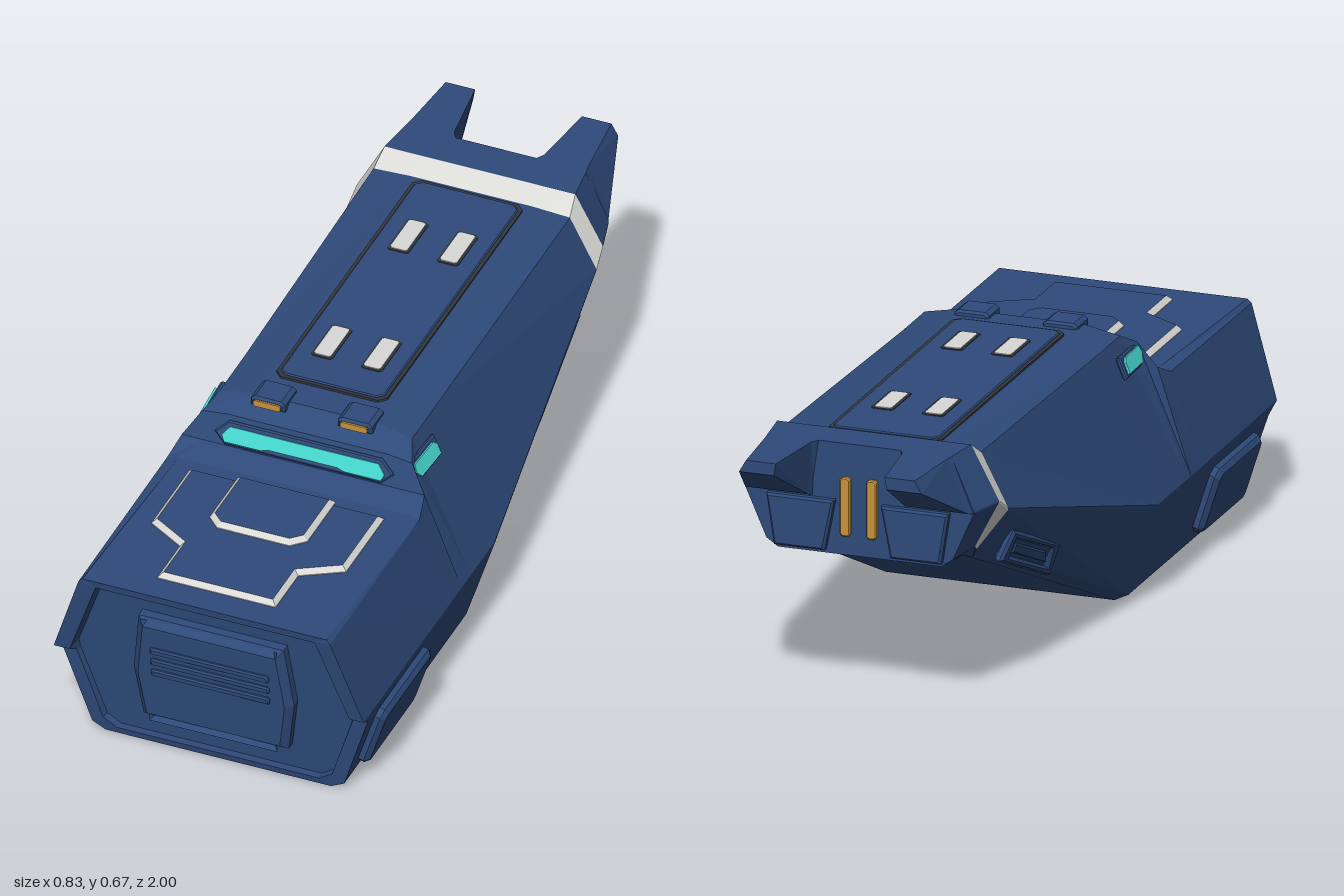
import * as THREE from 'three';

const mat = (name, color) => Object.assign(new THREE.MeshStandardMaterial({ color }), { name });

export function createModel() {
  const blue = mat('hullBlue', 0x2e4a7a), light = mat('lightTrim', 0xd9d9d6), cyan = mat('cyanGlass', 0x48dcd4);
  const amber = mat('amberLamp', 0xc8923a), dark = mat('darkSeam', 0x33373f);
  const model = new THREE.Group();
  model.name = 'spaceship';

  const add = (name, geo, material) => {
    const mesh = new THREE.Mesh(geo, material);
    mesh.name = name;
    model.add(mesh);
    return mesh;
  };

  // Mirror a geometry across x and restore its winding
  const mirrored = (geo) => {
    const g = geo.index ? geo.toNonIndexed() : geo.clone();
    const p = g.attributes.position, a = new THREE.Vector3(), b = new THREE.Vector3();
    g.scale(-1, 1, 1);
    for (let i = 0; i < p.count; i += 3) {
      a.fromBufferAttribute(p, i + 1);
      b.fromBufferAttribute(p, i + 2);
      p.setXYZ(i + 1, b.x, b.y, b.z);
      p.setXYZ(i + 2, a.x, a.y, a.z);
    }
    g.computeVertexNormals();
    return g;
  };
  const addPair = (name, geo, material) => {
    add(name + 'Left', geo, material);
    add(name + 'Right', mirrored(geo), material);
  };

  // Flat shaded skin over rings running from front to back
  const loft = (rows, { cols, start = false, end = false } = {}) => {
    const out = [], n = rows[0].length, tri = (...v) => v.forEach((p) => out.push(...p));
    for (let i = 0; i < rows.length - 1; i++) {
      for (const j of cols || rows[0].keys()) {
        const k = (j + 1) % n, [a, b, c, d] = [rows[i][j], rows[i][k], rows[i + 1][j], rows[i + 1][k]];
        tri(a, c, b);
        tri(b, c, d);
      }
    }
    const last = rows[rows.length - 1];
    for (let j = 1; j < n - 1; j++) {
      if (start) tri(rows[0][0], rows[0][j], rows[0][j + 1]);
      if (end) tri(last[0], last[j + 1], last[j]);
    }
    const g = new THREE.BufferGeometry();
    g.setAttribute('position', new THREE.Float32BufferAttribute(out, 3));
    g.computeVertexNormals();
    return g;
  };

  // Symmetric ring from its left half, bottom to top; a point may carry its own z
  const ring = (z, ...half) => {
    const h = half.map(([x, y, pz = z]) => [x, y, pz]);
    return [...h, ...h.slice().reverse().map(([x, y, pz]) => [-x, y, pz])];
  };

  // Chamfered rectangle and bevelled plates laid on any surface
  const rect = (w, h, c = 0.01, x = 0, y = 0) => {
    const a = w / 2, b = h / 2;
    return [[-a + c, -b], [a - c, -b], [a, -b + c], [a, b - c], [a - c, b], [-a + c, b], [-a, b - c], [-a, -b + c]]
      .map(([px, py]) => [px + x, py + y]);
  };
  const plate = (pts, depth, pos, normal, xdir, bevel = 0, holes = []) => {
    const vec = (l) => l.map(([x, y]) => new THREE.Vector2(x, y));
    const shape = new THREE.Shape(vec(pts));
    shape.holes = holes.map((h) => new THREE.Path(vec(h)));
    const g = new THREE.ExtrudeGeometry(shape, {
      depth: depth - bevel, bevelEnabled: bevel > 0, bevelSegments: 1,
      bevelSize: bevel, bevelThickness: bevel, bevelOffset: -bevel,
    });
    const z = new THREE.Vector3(...normal).normalize(), x = new THREE.Vector3(...xdir);
    x.addScaledVector(z, -x.dot(z)).normalize();
    const m = new THREE.Matrix4().makeBasis(x, z.clone().cross(x), z);
    return g.applyMatrix4(m.setPosition(...pos));
  };
  const X = [1, 0, 0], UP = [0, 1, 0], BACK = [0, 0, -1];

  // Hull: recessed nose, deck, cabin rise and tapering body
  const low = [[0.295, 0.004], [0.33, 0.022], [0.403, 0.25], [0.405, 0.26]];
  const lip = [[0.265, 0.022, 0.916], [0.3, 0.045, 0.918], [0.363, 0.24, 0.932],
    [0.366, 0.262, 0.968], [0.287, 0.485, 0.995], [0.27, 0.485, 0.995]];
  const bandFront = ring(-0.65, [0.235, 0.367], [0.26, 0.405, -0.69], [0.326, 0.5], [0.327, 0.505], [0.257, 0.64], [0.16, 0.645]);
  const bandBack = ring(-0.7, [0.23, 0.39], [0.26, 0.415], [0.322, 0.535], [0.322, 0.54], [0.25, 0.674], [0.16, 0.674]);
  add('hull', loft([
    ring(0, ...lip.map(([x, y]) => [x * 0.99, y, 0.893 + 0.1 * y])),
    ring(0, ...lip),
    ring(0, [0.295, 0.004, 0.912], [0.33, 0.022, 0.913], [0.4, 0.24, 0.932], [0.406, 0.265, 0.972], [0.33, 0.495, 1], [0.32, 0.505, 0.998]),
    ring(0.45, ...low, [0.33, 0.498], [0.3, 0.505]),
    ring(0.39, ...low, [0.318, 0.528], [0.26, 0.528]),
    ring(0.365, ...low, [0.275, 0.595], [0.21, 0.603]),
    ring(0.31, ...low, [0.252, 0.625], [0.16, 0.643]),
    ring(0.16, ...low, [0.252, 0.625], [0.16, 0.643]),
    bandFront,
  ], { start: true }), blue);

  // Light band around the tail, blue underneath
  add('tailBand', loft([bandFront, bandBack], { cols: [1, 2, 3, 4, 5, 6, 7, 8, 9] }), light);
  add('tailBelly', loft([bandFront, bandBack], { cols: [10, 11, 0] }), blue);
  add('tail', loft([bandBack,
    ring(-0.8, [0.21, 0.39], [0.24, 0.41], [0.295, 0.535], [0.295, 0.54], [0.237, 0.674], [0.16, 0.674]),
  ], { end: true }), blue);

  // Tail horns
  addPair('tailHorn', loft([
    [[0.12, 0.53, -0.79], [0.297, 0.53, -0.79], [0.239, 0.674, -0.79], [0.1, 0.674, -0.79]],
    [[0.125, 0.54, -0.82], [0.287, 0.54, -0.82], [0.234, 0.674, -0.82], [0.118, 0.674, -0.82]],
    [[0.145, 0.643, -1], [0.235, 0.643, -1], [0.217, 0.674, -1], [0.14, 0.674, -1]],
  ], { start: true, end: true }), blue);

  // Tail thrusters and amber exhaust bars
  addPair('thrusterFrame', plate([[-0.075, -0.065], [0.055, -0.065], [0.075, 0.065], [-0.1, 0.065]].map(([x, y]) => [-x, y]),
    0.022, [0.16, 0.465, -0.798], BACK, [-1, 0, 0], 0.006, [rect(0.1, 0.085, 0.012)]), blue);
  addPair('thrusterCore', plate(rect(0.065, 0.05), 0.016, [0.16, 0.465, -0.798], BACK, [-1, 0, 0], 0.005), blue);
  addPair('exhaustBar', plate(rect(0.026, 0.15, 0.006), 0.012, [0.034, 0.515, -0.8], BACK, [-1, 0, 0], 0.003), amber);

  // Nose grille, leaning with the recessed nose wall
  const lean = [0, -0.1, 1], onNose = (y) => [0, y, 0.893 + 0.1 * y];
  const c = onNose(0.25);
  add('grilleBlock', plate(
    [[-0.19, -0.155], [0.19, -0.155], [0.21, -0.01], [0.19, 0.16], [-0.19, 0.16], [-0.21, -0.01]],
    0.04, c, lean, X, 0.018,
    [[[-0.15, -0.14], [0.15, -0.14], [0.15, -0.045], [-0.15, -0.045]],
      [[-0.145, 0.11], [0.145, 0.11], [0.16, 0.15], [-0.16, 0.15]]]), blue);
  for (const y of [0.25, 0.284, 0.318]) {
    const [px, py, pz] = onNose(y);
    add('grilleSlat', plate(rect(0.31, 0.02, 0.004), 0.012, [px, py, pz + 0.036], lean, X, 0.004), blue);
  }

  // Stepped deck panels with light edges
  const deck = [[-0.255, -0.49], [-0.255, -0.725], [-0.155, -0.785], [-0.155, -0.925]];
  const inner = [[-0.128, -0.49], [-0.128, -0.665], [-0.095, -0.698]];
  const both = (pts) => [...pts, ...pts.slice().reverse().map(([x, y]) => [-x, y])];
  add('deckPanel', plate(both(deck), 0.014, [0, 0.505, 0], UP, X, 0.012), [blue, light]);
  add('deckPanelUpper', plate(both(inner), 0.015, [0, 0.518, 0], UP, X, 0.012), [blue, light]);

  // Windshield in its frame and the side windows
  const slope = [0, 0.32, 0.95];
  add('windshieldFrame', plate(
    [[-0.235, 0], [-0.205, -0.028], [0.205, -0.028], [0.235, 0], [0.2, 0.034], [-0.2, 0.034]],
    0.008, [0, 0.558, 0.379], slope, X, 0.004), blue);
  add('windshield', plate(
    [[-0.213, -0.004], [-0.205, -0.02], [-0.11, -0.02], [-0.09, -0.014], [0.09, -0.014], [0.11, -0.02],
      [0.205, -0.02], [0.213, -0.004], [0.195, 0.021], [-0.195, 0.021]],
    0.004, [0, 0.56, 0.386], slope, X), cyan);
  const sideN = [0.92, 0.386, 0.06];
  addPair('sideWindowFrame', plate([[-0.075, -0.018], [-0.06, -0.028], [0.07, -0.028], [0.07, 0.028], [-0.06, 0.028]],
    0.01, [0.277, 0.565, 0.305], sideN, BACK, 0.004), blue);
  addPair('sideWindow', plate([[-0.06, 0], [-0.045, -0.02], [0.058, -0.02], [0.058, 0.008], [0.045, 0.02], [-0.055, 0.02]],
    0.008, [0.284, 0.568, 0.305], sideN, BACK), cyan);

  // Roof headlamps
  addPair('lampHousing', plate([[-0.045, -0.012], [0.045, -0.012], [0.045, 0.008], [0.034, 0.016], [-0.034, 0.016], [-0.045, 0.008]],
    0.075, [0.114, 0.641, 0.268], [0, 0, 1], X, 0.006), blue);
  addPair('headlamp', plate(rect(0.07, 0.017, 0.004), 0.005, [0.114, 0.642, 0.343], [0, 0, 1], X), amber);

  // Roof panel with a dark seam and four light vents
  add('roofSeam', plate(rect(0.29, 0.87, 0.018), 0.006, [0, 0.643, -0.205], UP, X), dark);
  add('roofPanel', plate(rect(0.272, 0.852, 0.016), 0.01, [0, 0.643, -0.205], UP, X, 0.003), blue);
  for (const z of [-0.41, 0.06]) {
    addPair('roofVentRim', plate(rect(0.056, 0.134, 0.006), 0.003, [0.065, 0.652, z], UP, X), dark);
    addPair('roofVent', plate(rect(0.044, 0.122, 0.005), 0.004, [0.065, 0.653, z], UP, X), light);
  }

  // Side hatches on the lower flanks
  addPair('sideHatch', plate(rect(0.305, 0.18, 0.018), 0.026, [0.367, 0.137, 0.71], [0.953, -0.302, 0], BACK, 0.012), blue);
  const rearN = [0.936, -0.3, -0.18], along = [-0.077, 0.37, -0.81];
  const skew = (w, h) => [[-w / 2, -h / 2], [w / 2 - 0.01, -h / 2], [w / 2, h / 2], [-w / 2 + 0.03, h / 2]];
  addPair('rearHatch', plate(skew(0.33, 0.085), 0.018, [0.295, 0.325, -0.44], rearN, along, 0.007, [skew(0.26, 0.045)]), blue);
  addPair('rearHatchCore', plate(skew(0.23, 0.026), 0.014, [0.295, 0.325, -0.44], rearN, along, 0.004), blue);

  // Belly hatch
  add('bellyHatch', plate(rect(0.33, 0.38, 0.025), 0.004, [0, 0.004, 0.68], [0, -1, 0], X), blue);

  return model;
}
